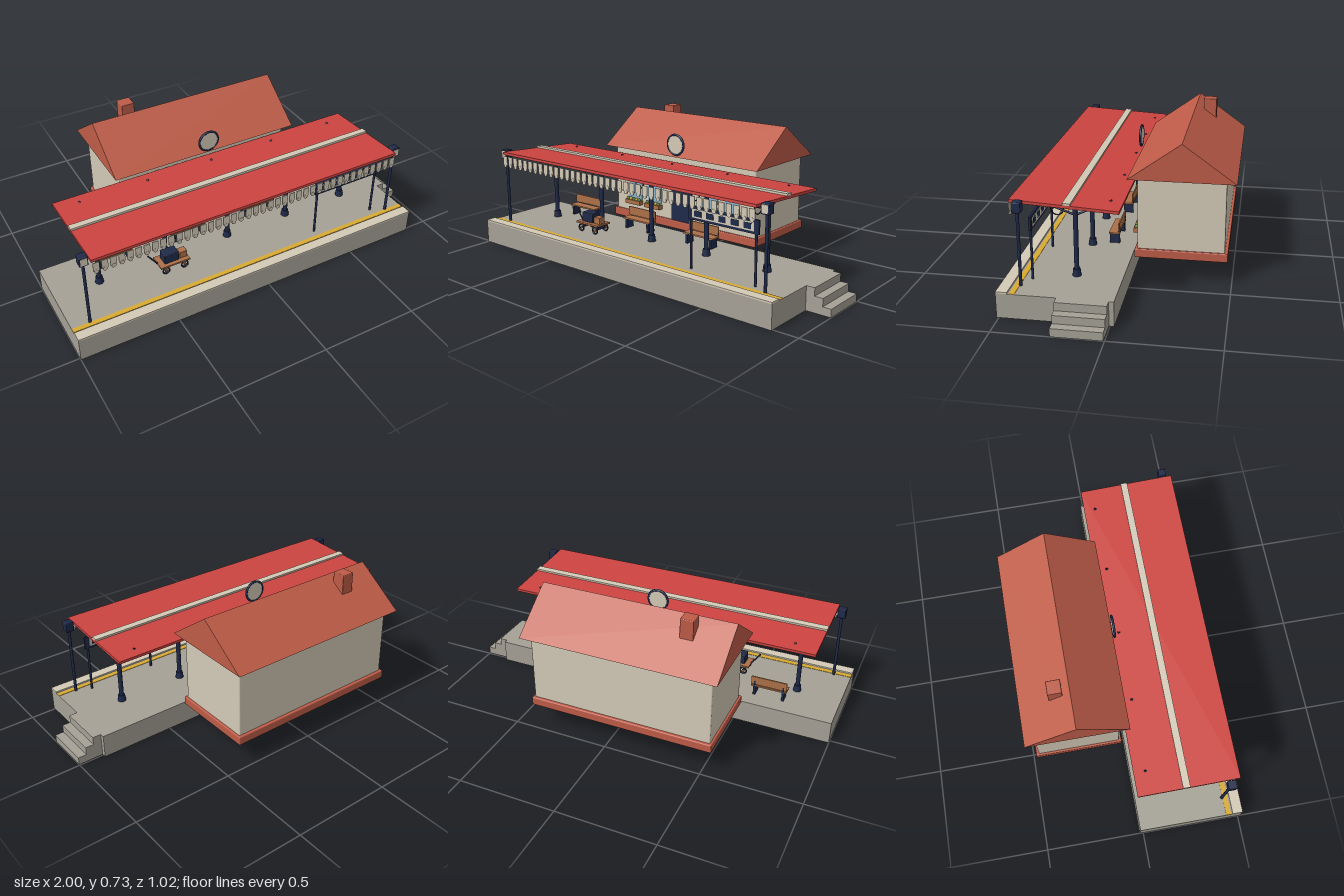
import * as THREE from 'three';
import { RoundedBoxGeometry } from 'three/addons/geometries/RoundedBoxGeometry.js';

const material = (name, color) => Object.assign(new THREE.MeshStandardMaterial({ color }), { name });

export function createModel() {
  const model = new THREE.Group();
  model.name = 'stationPlatform';
  const stone = material('stone grey', 0xa5a196);
  const cream = material('cream', 0xd3c9b6);
  const brick = material('brick', 0xbe5c48);
  const red = material('canopy red', 0xcc4440);
  const navy = material('navy iron', 0x1f2a4a);
  const glass = material('window blue', 0x8ab6d0);
  const wood = material('wood', 0xac7048);
  const yellow = material('yellow', 0xd9aa30);
  const green = material('leaf green', 0x5c8a48);

  const add = (parent, name, geo, mat, x = 0, y = 0, z = 0) => {
    const m = new THREE.Mesh(geo, mat);
    m.name = name;
    m.position.set(x, y, z);
    parent.add(m);
    return m;
  };
  // Box given by its limits on each axis, optionally with rounded edges
  const box = (parent, name, mat, x0, x1, y0, y1, z0, z1, r = 0) => {
    const s = [x1 - x0, y1 - y0, z1 - z0];
    const geo = r ? new RoundedBoxGeometry(...s, 2, r) : new THREE.BoxGeometry(...s);
    return add(parent, name, geo, mat, (x0 + x1) / 2, (y0 + y1) / 2, (z0 + z1) / 2);
  };
  // Round bar between two points
  const bar = (parent, name, mat, a, b, r) => {
    const p = new THREE.Vector3(...a), q = new THREE.Vector3(...b);
    const d = q.clone().sub(p);
    const m = add(parent, name, new THREE.CylinderGeometry(r, r, d.length(), 12), mat);
    m.position.copy(p).add(q).multiplyScalar(0.5);
    m.quaternion.setFromUnitVectors(new THREE.Vector3(0, 1, 0), d.normalize());
    return m;
  };
  const group = (name, x = 0, y = 0, z = 0) => {
    const g = new THREE.Group();
    g.name = name;
    g.position.set(x, y, z);
    model.add(g);
    return g;
  };
  const FLOOR = 0.118;

  // Platform, edge coping, safety line and end steps
  const platform = group('platform');
  box(platform, 'platformSlab', stone, -1, 0.873, 0, FLOOR, -0.018, 0.51);
  box(platform, 'coping', cream, -1, 0.873, FLOOR, 0.126, 0.458, 0.51);
  box(platform, 'safetyLine', yellow, -1, 0.873, FLOOR, 0.12, 0.425, 0.45);
  for (let i = 0; i < 3; i++) {
    box(platform, 'step', stone, 0.873 + i * 0.0423, 0.9153 + i * 0.0423, 0, FLOOR - i * 0.0393, 0.005, 0.237);
  }

  // Station building
  const house = group('building');
  box(house, 'plinth', brick, -0.543, 0.414, 0.12, 0.164, -0.478, -0.032, 0.005);
  box(house, 'walls', cream, -0.532, 0.403, 0.125, 0.522, -0.463, -0.045, 0.006);
  const gable = new THREE.Shape([[0.51, 0.52], [0.255, 0.703], [0, 0.52]].map(p => new THREE.Vector2(...p)));
  const roof = add(house, 'roof', new THREE.ExtrudeGeometry(gable, { depth: 1.006, bevelEnabled: false }), brick, 0.438);
  roof.rotation.y = -Math.PI / 2;
  // Shape x runs along the roof span, extrusion runs along the ridge
  roof.geometry.rotateY(Math.PI);
  roof.rotation.y = -Math.PI / 2;
  roof.position.x = 0.438;
  roof.geometry.computeBoundingBox();
  roof.updateMatrixWorld(true);
  const bounds = new THREE.Box3().setFromObject(roof);
  roof.position.x += -0.568 - bounds.min.x;
  roof.position.z += -0.51 - bounds.min.z;
  box(house, 'chimney', brick, -0.393, -0.326, 0.58, 0.729, -0.36, -0.291, 0.004);

  // Door, transom and windows with flower boxes
  box(house, 'door', navy, -0.13, 0.002, 0.164, 0.382, -0.046, -0.038);
  box(house, 'transom', glass, -0.13, 0.002, 0.382, 0.422, -0.046, -0.038);
  for (const x of [-0.392, -0.252, 0.126, 0.266]) {
    box(house, 'window', glass, x - 0.047, x + 0.047, 0.235, 0.387, -0.046, -0.041);
    box(house, 'flowerBox', wood, x - 0.052, x + 0.052, 0.208, 0.231, -0.045, -0.013);
    for (let i = 0; i < 5; i++) {
      const bloom = new THREE.SphereGeometry(0.01, 8, 6);
      add(house, 'flower', bloom, i % 2 ? yellow : green, x - 0.04 + i * 0.02, 0.235, -0.026);
    }
  }

  // Clock above the canopy
  const clock = group('clock', -0.064, 0.588, 0.005);
  add(clock, 'clockRim', new THREE.TorusGeometry(0.052, 0.006, 8, 32), navy);
  add(clock, 'clockFace', new THREE.CylinderGeometry(0.052, 0.052, 0.008, 32), cream).rotation.x = Math.PI / 2;

  // Sloping canopy with ridge strip
  const canopy = group('canopy', -0.065, 0.4945, 0.222);
  canopy.rotation.x = -0.059;
  box(canopy, 'canopyRoof', red, -0.82, 0.82, -0.007, 0.007, -0.245, 0.245);
  box(canopy, 'canopyStrip', cream, -0.82, 0.82, 0.005, 0.017, -0.029, 0.006);

  // Scalloped valance along the front edge
  const valance = group('valance', 0, 0, 0.467);
  for (let i = 0; i < 41; i++) {
    const x = -0.865 + i * 0.04;
    box(valance, 'valanceTooth', cream, x - 0.015, x + 0.015, 0.449, 0.495, -0.002, 0.002);
    const tip = new THREE.CylinderGeometry(0.011, 0.011, 0.006, 10);
    add(valance, 'valanceTip', tip, cream, x, 0.446, 0).rotation.x = Math.PI / 2;
  }

  // Columns with braces and ring ornaments
  for (let i = 0; i < 5; i++) {
    const column = group('column', -0.77 + i * 0.3525, 0, 0.197);
    bar(column, 'shaft', navy, [0, FLOOR, 0], [0, 0.488, 0], 0.0115);
    add(column, 'base', new THREE.CylinderGeometry(0.017, 0.021, 0.034, 16), navy, 0, 0.135, 0);
    bar(column, 'frontBrace', navy, [0, 0.414, 0], [0, 0.493, 0.225], 0.005);
    bar(column, 'rearBrace', navy, [0, 0.414, 0], [0, 0.492, -0.167], 0.005);
    add(column, 'ringOrnament', new THREE.TorusGeometry(0.03, 0.003, 8, 24), navy, 0, 0.441, 0.083).rotation.y = Math.PI / 2;
  }

  // Lamp posts at both ends
  for (const x of [-0.909, 0.78]) {
    const lamp = group('lampPost', x, 0, 0.421);
    bar(lamp, 'post', navy, [0, FLOOR, 0], [0, 0.48, 0], 0.0075);
    box(lamp, 'lampHousing', navy, -0.021, 0.021, 0.47, 0.52, -0.02, 0.02, 0.004);
    box(lamp, 'lampGlass', cream, -0.016, 0.016, 0.476, 0.514, 0.018, 0.022);
  }

  // Name board with blank blocks
  const sign = group('signBoard', 0.525, 0, 0.387);
  for (const x of [-0.18, 0.18]) bar(sign, 'signPost', navy, [x, FLOOR, 0], [x, 0.4, 0], 0.006);
  box(sign, 'board', navy, -0.195, 0.195, 0.357, 0.423, -0.005, 0.005);
  box(sign, 'panel', cream, -0.17, 0.17, 0.369, 0.411, -0.0065, 0.0065);
  for (let i = -2; i <= 2; i++) {
    box(sign, 'block', navy, i * 0.068 - 0.02, i * 0.068 + 0.02, 0.376, 0.404, -0.0075, 0.0075);
  }

  // Benches
  for (const x of [-0.652, -0.243, 0.173]) {
    const bench = group('bench', x, 0, 0);
    box(bench, 'seat', wood, -0.093, 0.093, 0.168, 0.176, 0.066, 0.12);
    box(bench, 'backrest', wood, -0.093, 0.093, 0.181, 0.226, 0.066, 0.073);
    for (const s of [-0.075, 0.075]) {
      box(bench, 'leg', navy, s - 0.006, s + 0.006, FLOOR, 0.168, 0.067, 0.117);
      box(bench, 'backSupport', navy, s - 0.004, s + 0.004, 0.168, 0.2, 0.065, 0.07);
    }
  }

  // Luggage cart with cases
  const cart = group('luggageCart');
  box(cart, 'deck', wood, -0.495, -0.338, 0.162, 0.171, 0.222, 0.314);
  for (const x of [-0.465, -0.365]) {
    for (const z of [0.228, 0.306]) {
      add(cart, 'wheel', new THREE.TorusGeometry(0.017, 0.004, 8, 20), navy, x, 0.139, z);
      const hub = add(cart, 'hub', new THREE.CylinderGeometry(0.007, 0.007, 0.007, 10), wood, x, 0.139, z);
      hub.rotation.x = Math.PI / 2;
    }
    bar(cart, 'axle', navy, [x, 0.139, 0.228], [x, 0.139, 0.306], 0.003);
    box(cart, 'axleMount', navy, x - 0.005, x + 0.005, 0.139, 0.162, 0.24, 0.294);
  }
  bar(cart, 'pullHandle', navy, [-0.493, 0.167, 0.268], [-0.542, 0.235, 0.268], 0.004);
  box(cart, 'largeCase', navy, -0.467, -0.39, 0.171, 0.222, 0.24, 0.297, 0.004);
  box(cart, 'smallCase', wood, -0.385, -0.343, 0.171, 0.207, 0.255, 0.293, 0.003);

  return model;
}
